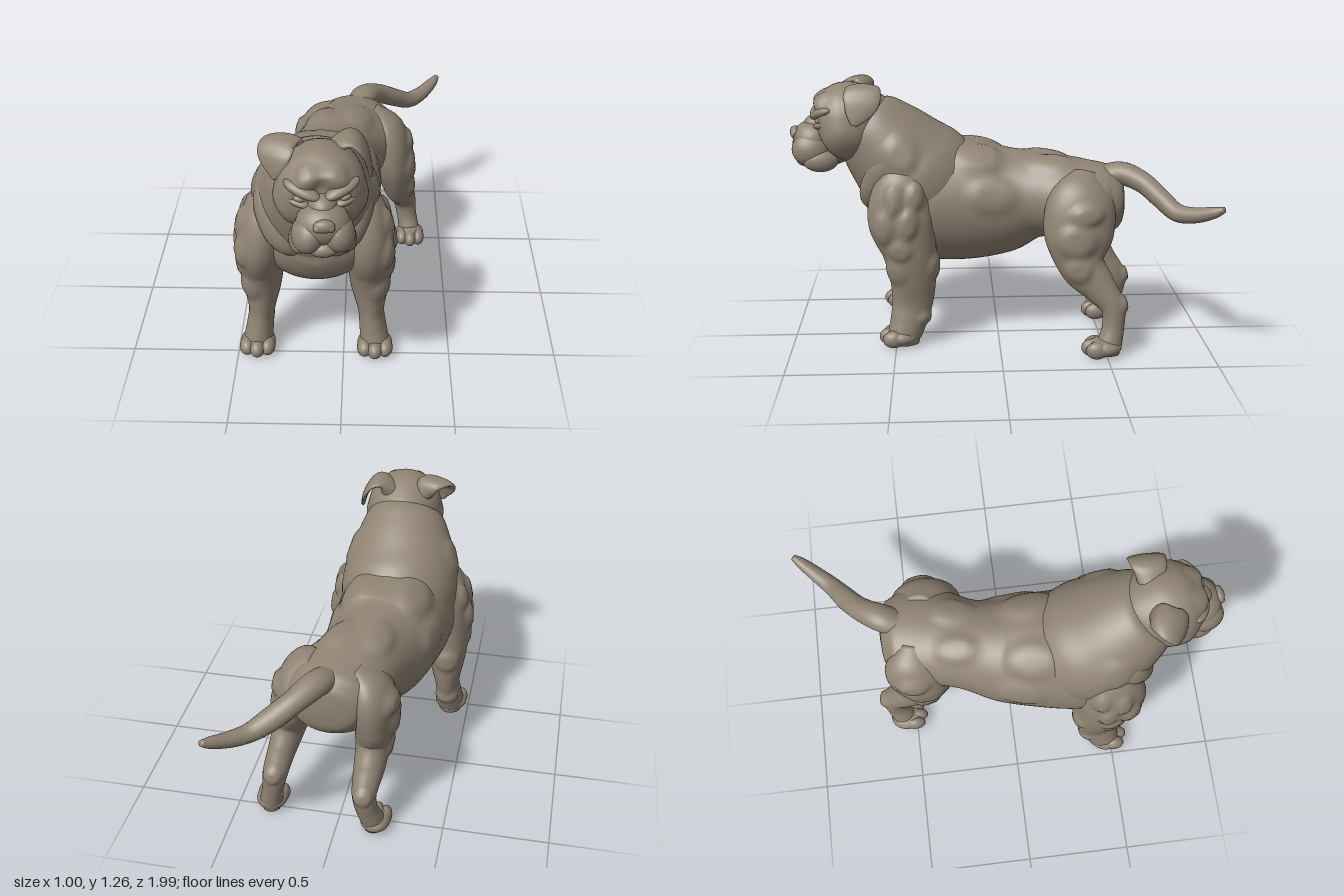
import * as THREE from 'three';

const clay = new THREE.MeshStandardMaterial({ color: 0x8f8373 });
clay.name = 'clay brown';

// Smooth tube through rows of [x, y, z, radiusU, radiusV]; U lies along ref.
// Each bump [x, y, z, rx, ry, rz, height] swells the surface like a muscle.
function loftGeometry(rows, { ref = [1, 0, 0], around = 32, steps = 8, bumps = [] } = {}) {
  const path = new THREE.CatmullRomCurve3(rows.map(r => new THREE.Vector3(r[0], r[1], r[2])), false, 'catmullrom');
  const size = new THREE.CatmullRomCurve3(rows.map(r => new THREE.Vector3(r[3], r[4], 0)), false, 'catmullrom');
  const n = (rows.length - 1) * steps;
  const pos = [], idx = [], R = new THREE.Vector3(...ref);
  for (let i = 0; i <= n; i++) {
    const c = path.getPoint(i / n), s = size.getPoint(i / n), T = path.getTangent(i / n);
    const U = R.clone().addScaledVector(T, -R.dot(T)).normalize();
    const V = T.clone().cross(U);
    for (let j = 0; j < around; j++) {
      const a = j / around * Math.PI * 2;
      const p = c.clone()
        .addScaledVector(U, Math.cos(a) * Math.max(s.x, 0.003))
        .addScaledVector(V, Math.sin(a) * Math.max(s.y, 0.003));
      pos.push(p.x, p.y, p.z);
    }
  }
  for (let i = 0; i < n; i++) for (let j = 0; j < around; j++) {
    const k = (j + 1) % around;
    const a = i * around + j, b = i * around + k, c = b + around, d = a + around;
    idx.push(a, b, c, a, c, d);
  }
  // end caps
  const last = n * around, m = pos.length / 3;
  for (const t of [0, 1]) pos.push(...path.getPoint(t).toArray());
  for (let j = 0; j < around; j++) {
    const k = (j + 1) % around;
    idx.push(m, k, j, m + 1, last + j, last + k);
  }
  const g = new THREE.BufferGeometry();
  g.setAttribute('position', new THREE.Float32BufferAttribute(pos, 3));
  g.setIndex(idx);
  g.computeVertexNormals();
  // muscle relief along the normals
  const P = g.attributes.position, N = g.attributes.normal;
  for (let i = 0; i < P.count; i++) {
    const x = P.getX(i), y = P.getY(i), z = P.getZ(i);
    let h = 0;
    for (const [bx, by, bz, rx, ry, rz, height] of bumps) {
      const d = Math.hypot((x - bx) / rx, (y - by) / ry, (z - bz) / rz);
      h += height * (1 - THREE.MathUtils.smoothstep(d, 0.45, 1));
    }
    P.setXYZ(i, x + N.getX(i) * h, y + N.getY(i) * h, z + N.getZ(i) * h);
  }
  g.computeVertexNormals();
  return g;
}

export function createModel() {
  const model = new THREE.Group();
  model.name = 'dog';
  const add = (name, geometry, parent) => {
    const m = new THREE.Mesh(geometry, clay);
    m.name = name;
    parent.add(m);
    return m;
  };
  const loft = (name, rows, options, parent = model) => add(name, loftGeometry(rows, options), parent);
  const ball = new THREE.SphereGeometry(1, 28, 18);
  const blob = (name, p, s, r = [0, 0, 0], parent = model) => {
    const m = add(name, ball, parent);
    m.position.set(...p);
    m.scale.set(...s);
    m.rotation.set(...r);
  };

  // Barrel of the body, with blades, flanks, loins and breast swelling out
  const torsoBumps = [], neckBumps = [];
  for (const s of [-1, 1]) {
    torsoBumps.push(
      [-0.1 + s * 0.14, 0.9, 0.1, 0.12, 0.12, 0.17, 0.02],
      [-0.1 + s * 0.25, 0.74, 0.03, 0.09, 0.11, 0.15, 0.014],
      [-0.04 + s * 0.1, 0.88, -0.25, 0.09, 0.1, 0.13, 0.016],
    );
    neckBumps.push([-0.12 + s * 0.24, 0.93, 0.46, 0.1, 0.12, 0.1, 0.014]);
  }
  loft('torso', [
    [0.03, 0.69, -0.605, 0.03, 0.03], [0.03, 0.69, -0.59, 0.13, 0.11], [0.03, 0.69, -0.53, 0.2, 0.165],
    [0.02, 0.69, -0.4, 0.24, 0.19], [-0.05, 0.695, -0.2, 0.215, 0.212], [-0.09, 0.665, -0.02, 0.25, 0.272],
    [-0.11, 0.66, 0.15, 0.275, 0.3], [-0.125, 0.66, 0.33, 0.29, 0.295], [-0.125, 0.655, 0.48, 0.265, 0.24],
    [-0.125, 0.655, 0.58, 0.2, 0.165], [-0.125, 0.655, 0.63, 0.1, 0.08], [-0.125, 0.655, 0.64, 0.02, 0.02],
  ], { around: 72, steps: 10, bumps: torsoBumps });

  // Thick neck rising to the skull
  loft('neck', [
    [-0.115, 0.6, 0.22, 0.18, 0.18], [-0.12, 0.69, 0.305, 0.27, 0.28], [-0.125, 0.79, 0.4, 0.292, 0.29],
    [-0.12, 0.885, 0.485, 0.268, 0.252], [-0.11, 0.98, 0.57, 0.232, 0.214], [-0.1, 1.06, 0.64, 0.182, 0.168],
    [-0.1, 1.1, 0.675, 0.1, 0.1],
  ], { around: 64, steps: 10, bumps: neckBumps });

  // Head, built straight and turned a little to its left
  const head = new THREE.Group();
  head.name = 'head';
  head.position.set(-0.162, 0, 0.003);
  head.rotation.y = 0.1;
  model.add(head);
  const headBumps = [];
  for (const s of [-1, 1]) headBumps.push(
    [s * 0.15, 0.98, 0.74, 0.1, 0.12, 0.13, 0.014],
    [s * 0.06, 1.16, 0.83, 0.055, 0.07, 0.09, 0.012],
  );
  loft('skull', [
    [0, 1.07, 0.5, 0.03, 0.03], [0, 1.07, 0.54, 0.12, 0.11], [0, 1.06, 0.64, 0.178, 0.178],
    [0, 1.055, 0.75, 0.188, 0.19], [0, 1.05, 0.82, 0.16, 0.155], [0, 1.045, 0.855, 0.115, 0.115],
    [0, 1.045, 0.868, 0.03, 0.03],
  ], { around: 48, bumps: headBumps }, head);
  const face = (name, p, s, r) => blob(name, p, s, r, head);
  face('muzzle', [0, 0.98, 0.885], [0.112, 0.09, 0.1]);
  face('bridge', [0, 1.05, 0.86], [0.06, 0.05, 0.07]);
  face('jaw', [0, 0.905, 0.83], [0.12, 0.055, 0.13]);
  face('chin', [0, 0.885, 0.915], [0.07, 0.042, 0.06]);
  face('nose', [0, 1.015, 0.972], [0.044, 0.028, 0.025]);
  for (const s of [-1, 1]) {
    face('jowl', [s * 0.06, 0.94, 0.895], [0.07, 0.085, 0.095], [0, 0, s * 0.3]);
    face('jowlLobe', [s * 0.095, 0.89, 0.855], [0.045, 0.055, 0.085], [0, 0, s * 0.2]);
    face('brow', [s * 0.082, 1.112, 0.847], [0.085, 0.026, 0.038], [0, s * 0.5, s * 0.3]);
    face('eye', [s * 0.095, 1.08, 0.857], [0.026, 0.014, 0.018], [0, s * 0.4, s * 0.2]);
    face('lowerEyelid', [s * 0.095, 1.058, 0.848], [0.052, 0.018, 0.028], [0, s * 0.5, s * 0.2]);
    face('nostrilWing', [s * 0.026, 1.008, 0.978], [0.018, 0.017, 0.016]);
  }

  // Folded ears: the right flap faces forward, the left one sideways
  loft('rightEar', [
    [-0.19, 1.18, 0.65, 0.05, 0.04], [-0.22, 1.225, 0.65, 0.065, 0.03], [-0.262, 1.232, 0.69, 0.082, 0.02],
    [-0.275, 1.2, 0.73, 0.08, 0.016], [-0.275, 1.15, 0.75, 0.055, 0.013], [-0.277, 1.105, 0.755, 0.015, 0.009],
  ], { ref: [0.85, 0, 0.5], around: 24 });
  loft('leftEar', [
    [-0.03, 1.18, 0.64, 0.06, 0.05], [0.01, 1.23, 0.64, 0.075, 0.026], [0.055, 1.225, 0.635, 0.085, 0.018],
    [0.09, 1.18, 0.64, 0.085, 0.014], [0.11, 1.12, 0.66, 0.055, 0.011], [0.12, 1.075, 0.675, 0.015, 0.008],
  ], { ref: [0, 0, 1], around: 24 });

  // Paw with three rounded toes
  const paw = (name, x, z, w) => {
    blob(name, [x, 0.046, z], [w, 0.046, 0.085]);
    for (const i of [-1, 0, 1])
      blob(name + 'Toe', [x + i * w * 0.58, 0.043, z + 0.055 - Math.abs(i) * 0.018], [w * 0.44, 0.042, 0.052]);
  };

  // Front legs, mirrored about the chest line
  const cx = -0.13;
  for (const s of [-1, 1]) {
    const side = s < 0 ? 'right' : 'left';
    const mirror = rows => rows.map(([x, ...r]) => [cx + s * x, ...r]);
    loft(side + 'FrontLeg', mirror([
      [0.17, 0.9, 0.42, 0.04, 0.05], [0.218, 0.79, 0.45, 0.095, 0.13], [0.243, 0.63, 0.465, 0.108, 0.16],
      [0.25, 0.47, 0.43, 0.104, 0.13], [0.252, 0.34, 0.415, 0.088, 0.112], [0.258, 0.21, 0.42, 0.062, 0.098],
      [0.268, 0.12, 0.44, 0.064, 0.088], [0.277, 0.05, 0.46, 0.068, 0.08], [0.277, 0.01, 0.46, 0.06, 0.07],
    ]), {
      around: 48, steps: 10, bumps: mirror([
        [0.34, 0.76, 0.39, 0.08, 0.09, 0.05, 0.018], [0.34, 0.74, 0.5, 0.08, 0.1, 0.05, 0.018],
        [0.34, 0.62, 0.43, 0.08, 0.09, 0.05, 0.02], [0.34, 0.6, 0.55, 0.08, 0.1, 0.06, 0.018],
        [0.34, 0.49, 0.47, 0.08, 0.06, 0.07, 0.012], [0.26, 0.4, 0.32, 0.08, 0.08, 0.06, 0.016],
        [0.29, 0.38, 0.48, 0.07, 0.09, 0.08, 0.014], [0.26, 0.14, 0.37, 0.08, 0.05, 0.05, 0.014],
      ]),
    });
    paw(side + 'FrontPaw', cx + s * 0.278, 0.475, 0.083);
    // Loose skin of the neck, mostly sunk into the chest
    loft('neckFold', mirror([
      [0.15, 0.99, 0.52, 0.02, 0.02], [0.195, 0.9, 0.52, 0.08, 0.065], [0.175, 0.79, 0.565, 0.085, 0.07],
      [0.12, 0.7, 0.595, 0.07, 0.06], [0.03, 0.63, 0.585, 0.02, 0.02],
    ]), { ref: [0, 0, 1], around: 24 });
  }

  // Hind legs, the right one set further back
  loft('leftHindLeg', [
    [0.12, 0.84, -0.41, 0.04, 0.06], [0.185, 0.73, -0.385, 0.105, 0.155], [0.23, 0.57, -0.37, 0.1, 0.165],
    [0.26, 0.43, -0.385, 0.078, 0.112], [0.285, 0.33, -0.46, 0.066, 0.082], [0.305, 0.24, -0.525, 0.06, 0.06],
    [0.32, 0.14, -0.53, 0.052, 0.052], [0.335, 0.05, -0.51, 0.055, 0.06], [0.335, 0.01, -0.51, 0.045, 0.05],
  ], {
    around: 48, steps: 10, bumps: [
      [0.32, 0.68, -0.4, 0.1, 0.06, 0.1, 0.02], [0.33, 0.56, -0.35, 0.1, 0.1, 0.12, 0.018],
      [0.33, 0.42, -0.36, 0.08, 0.07, 0.08, 0.014], [0.31, 0.25, -0.58, 0.06, 0.05, 0.05, 0.014],
    ],
  });
  loft('rightHindLeg', [
    [-0.06, 0.83, -0.44, 0.04, 0.06], [-0.135, 0.72, -0.45, 0.105, 0.145], [-0.155, 0.57, -0.43, 0.098, 0.155],
    [-0.15, 0.43, -0.44, 0.082, 0.115], [-0.145, 0.33, -0.52, 0.072, 0.085], [-0.137, 0.24, -0.595, 0.058, 0.06],
    [-0.15, 0.14, -0.59, 0.052, 0.052], [-0.175, 0.05, -0.56, 0.055, 0.06], [-0.175, 0.01, -0.56, 0.045, 0.05],
  ], {
    around: 48, steps: 10, bumps: [
      [-0.25, 0.7, -0.48, 0.1, 0.06, 0.1, 0.02], [-0.25, 0.58, -0.42, 0.1, 0.1, 0.12, 0.018],
      [-0.22, 0.42, -0.42, 0.08, 0.07, 0.08, 0.014], [-0.137, 0.25, -0.65, 0.06, 0.05, 0.05, 0.014],
    ],
  });
  paw('leftHindPaw', 0.338, -0.485, 0.075);
  paw('rightHindPaw', -0.182, -0.545, 0.072);

  // Tail swung to the left
  loft('tail', [
    [0.05, 0.8, -0.5, 0.07, 0.06], [0.085, 0.825, -0.59, 0.066, 0.056], [0.15, 0.795, -0.68, 0.056, 0.05],
    [0.235, 0.74, -0.75, 0.054, 0.046], [0.32, 0.695, -0.81, 0.045, 0.042], [0.39, 0.7, -0.88, 0.038, 0.036],
    [0.45, 0.728, -0.95, 0.028, 0.027], [0.48, 0.75, -0.99, 0.014, 0.014],
  ], { around: 24 });
  return model;
}
